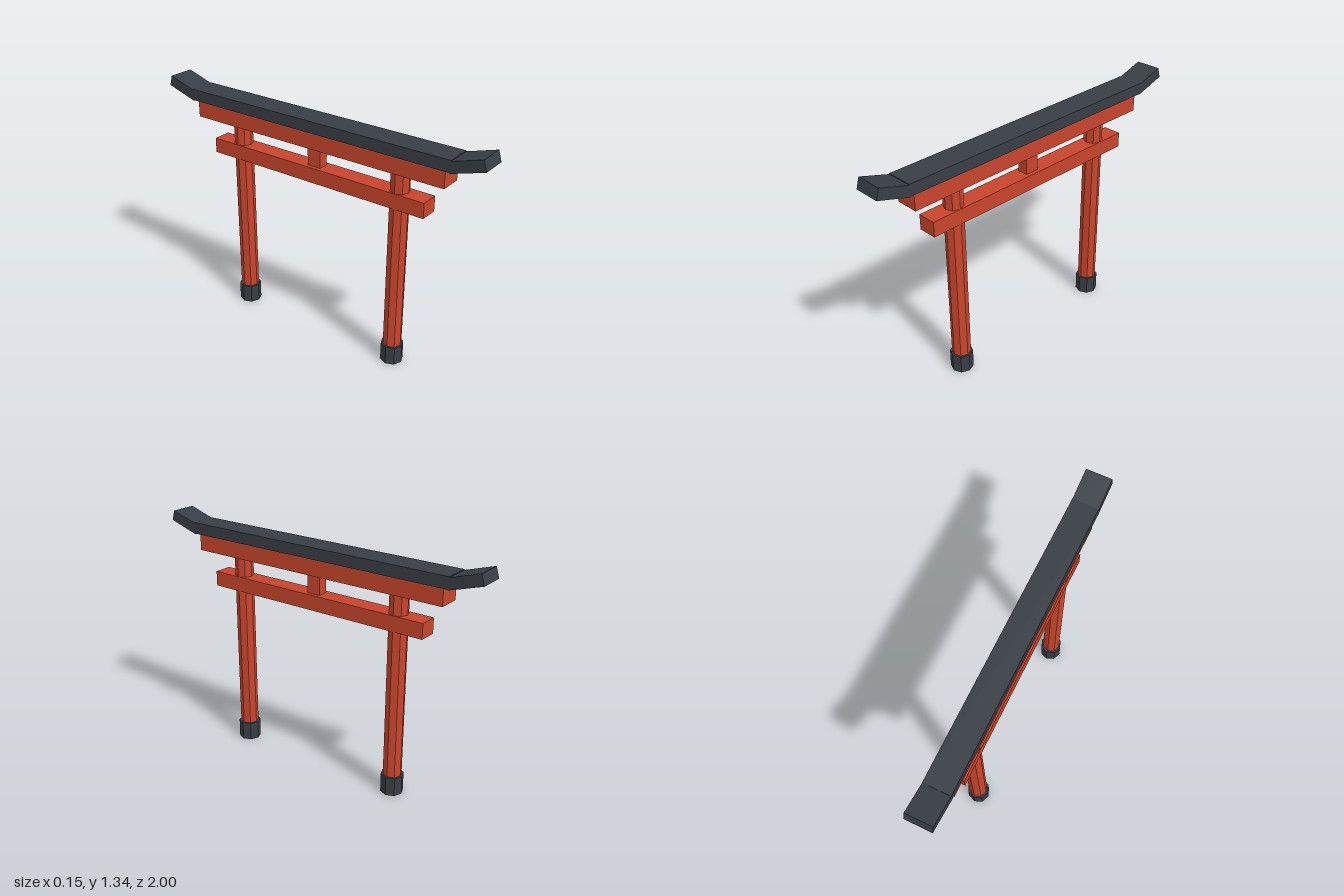
import * as THREE from 'three';

export function createModel() {
  const model = new THREE.Group();
  model.name = 'gate';

  const red = new THREE.MeshStandardMaterial({ color: 0xc8452c, flatShading: true });
  red.name = 'vermilion paint';
  const dark = new THREE.MeshStandardMaterial({ color: 0x383e45, flatShading: true });
  dark.name = 'charcoal';

  function add(name, geometry, material, y, z = 0) {
    const mesh = new THREE.Mesh(geometry, material);
    mesh.name = name;
    mesh.position.set(0, y, z);
    model.add(mesh);
    return mesh;
  }

  // Box spanning bottom to top, centred on x and z
  function beam(name, material, width, bottom, top, length) {
    const geometry = new THREE.BoxGeometry(width, top - bottom, length);
    return add(name, geometry, material, (bottom + top) / 2);
  }

  // Beams and the short strut between them
  beam('lowerBeam', red, 0.105, 0.945, 1.03, 1.37);
  beam('upperBeam', red, 0.125, 1.14, 1.234, 1.58);
  beam('centreStrut', red, 0.06, 1.03, 1.14, 0.08);
  beam('topLintel', dark, 0.147, 1.234, 1.298, 1.64);

  // Mirrored pillars, footings and upturned lintel tips
  for (const side of [1, -1]) {
    const end = side > 0 ? 'front' : 'back';
    add(end + 'Pillar', new THREE.CylinderGeometry(0.052, 0.052, 1.16, 8), red, 0.58, side * 0.515);
    add(end + 'Footing', new THREE.CylinderGeometry(0.063, 0.063, 0.108, 8), dark, 0.054, side * 0.515);
    const tip = add(end + 'LintelTip', new THREE.BoxGeometry(0.147, 0.06, 0.19), dark, 1.287, side * 0.9);
    tip.rotation.x = -side * 0.3;
  }

  return model;
}
